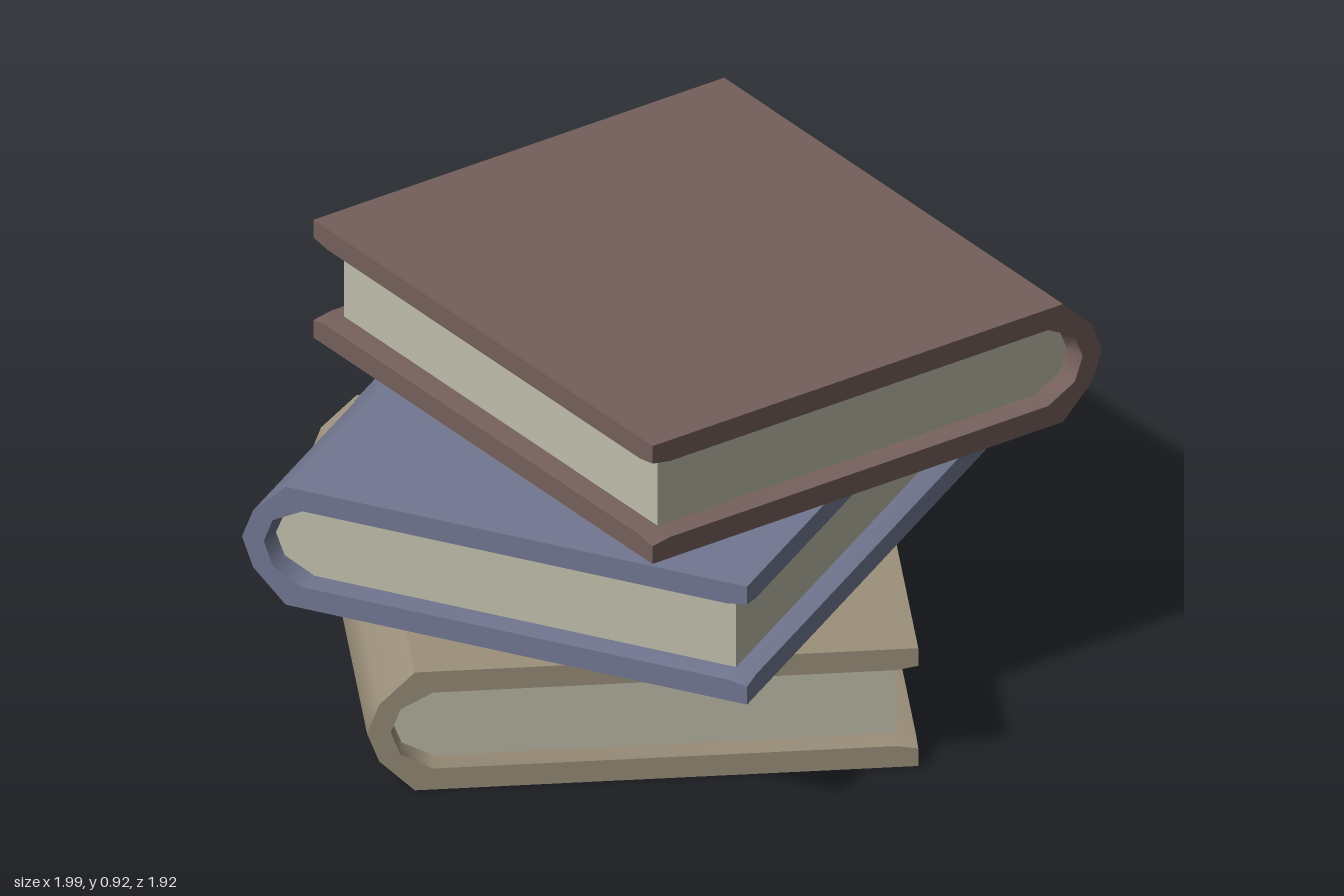
import * as THREE from 'three';
import { toCreasedNormals } from 'three/addons/utils/BufferGeometryUtils.js';

const HEIGHT = 0.308, MID = HEIGHT / 2;
const HALF_WIDTH = 0.635, HALF_DEPTH = 0.665, INSET = 0.05;
const CREASE = 0.755;

// half profiles (x, height from the middle), from the fore edge round to the spine tip
const OUTER = [[HALF_WIDTH, MID], [-0.525, MID], [-0.607, 0.074], [-HALF_WIDTH, 0]];
const INNER = [[-0.475, 0.092], [-0.55, 0.055], [-0.572, 0]];

// upper half plus its mirror image below
const mirrored = (half) => [
  ...half,
  ...half.slice(0, -1).reverse().map(([x, y]) => [x, -y]),
];
const toShape = (points) => new THREE.Shape(points.map(([x, y]) => new THREE.Vector2(x, y)));

function extrude(points, depth, steps = 1) {
  const g = new THREE.ExtrudeGeometry(toShape(points), { depth, steps, bevelEnabled: false });
  return g.translate(0, 0, -depth / 2);
}

// C-shaped binding whose opening flares slightly at head, tail and fore edge
function coverGeometry() {
  const inside = mirrored([[HALF_WIDTH, 0.1], [HALF_WIDTH - INSET, 0.092], ...INNER]).reverse();
  const g = extrude([...mirrored(OUTER), ...inside], 2 * HALF_DEPTH, 3);
  const p = g.attributes.position;
  for (let i = 0; i < p.count; i++) {
    const x = p.getX(i), y = p.getY(i), z = p.getZ(i);
    const atEnd = Math.abs(z) > HALF_DEPTH - 0.01;
    if (!atEnd) {
      p.setZ(i, Math.sign(z) * (HALF_DEPTH - INSET));
    } else if (x > -0.59 && Math.abs(y) < 0.12) {
      p.setXY(i, x < -0.4 ? x - 0.008 : x, y * 1.08);
    }
  }
  return toCreasedNormals(g, CREASE);
}

function pagesGeometry() {
  const outline = mirrored([[HALF_WIDTH - INSET, 0.092], ...INNER]);
  return toCreasedNormals(extrude(outline, 2 * (HALF_DEPTH - INSET)), CREASE);
}

// small faceted label lying on the spine ridge
function labelGeometry() {
  return extrude([[-0.6, 0.075], [-0.609, 0.075], [-0.637, 0], [-0.609, -0.075], [-0.6, -0.075]], 0.18);
}

export function createModel() {
  const model = new THREE.Group();
  model.name = 'bookStack';

  const cover = coverGeometry(), pages = pagesGeometry(), label = labelGeometry();
  const paper = new THREE.MeshStandardMaterial({ color: 0xbfbda9 });

  const books = [
    { name: 'bottomBook', color: 0x9c907b, x: -0.115, z: 0.065, turn: 0 },
    { name: 'middleBook', color: 0x727791, x: -0.115, z: 0.065, turn: -30 },
    { name: 'topBook', color: 0x745f5b, x: 0.115, z: -0.065, turn: 210 },
  ];

  books.forEach(({ name, color, x, z, turn }, i) => {
    const book = new THREE.Group();
    book.name = name;
    const binding = new THREE.MeshStandardMaterial({ color });
    const flatBinding = new THREE.MeshStandardMaterial({ color, flatShading: true });
    const parts = [['cover', cover, binding], ['pages', pages, paper], ['spineLabel', label, flatBinding]];
    for (const [partName, geometry, material] of parts) {
      const mesh = new THREE.Mesh(geometry, material);
      mesh.name = partName;
      book.add(mesh);
    }
    book.position.set(x, MID + i * HEIGHT, z);
    book.rotation.y = THREE.MathUtils.degToRad(turn);
    model.add(book);
  });
  return model;
}
